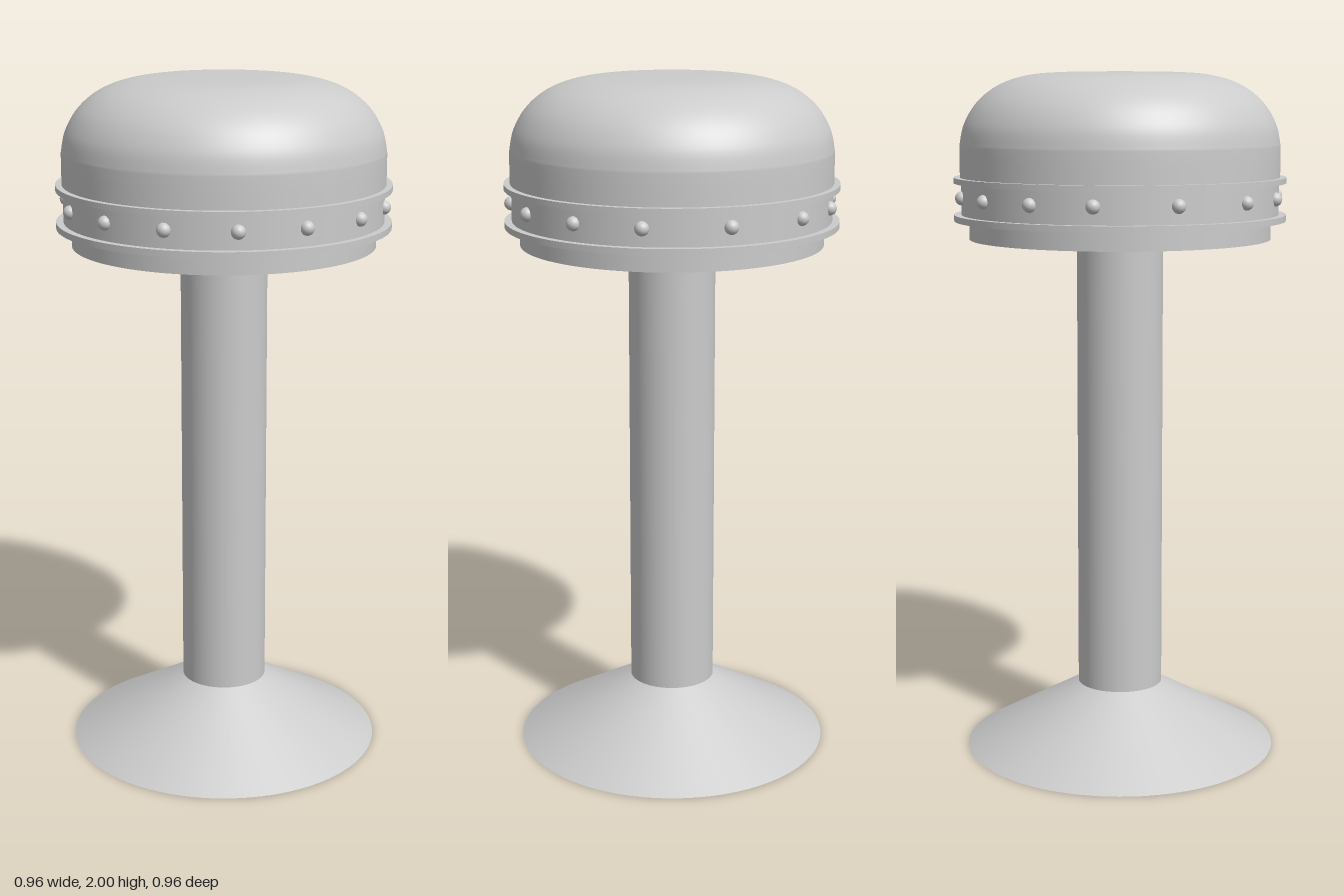
import * as THREE from 'three';

const SEGMENTS = 96;

export function createModel() {
  const stool = new THREE.Group();
  stool.name = 'stool';
  const material = new THREE.MeshStandardMaterial({ color: 0xcccccc });

  const add = (name, geometry, parent = stool) => {
    const mesh = new THREE.Mesh(geometry, material);
    mesh.name = name;
    parent.add(mesh);
    return mesh;
  };

  // Upright disc or cone between two heights
  const addRound = (name, y0, y1, bottomRadius, topRadius = bottomRadius, parent = stool) => {
    const mesh = add(name, new THREE.CylinderGeometry(topRadius, bottomRadius, y1 - y0, SEGMENTS), parent);
    mesh.position.y = (y0 + y1) / 2;
    return mesh;
  };

  // Floor flange and column
  addRound('baseFlange', 0, 0.19, 0.46, 0.125);
  addRound('column', 0.18, 1.54, 0.125);

  // Seat pan and trim band with two projecting rims
  const seat = new THREE.Group();
  seat.name = 'seat';
  stool.add(seat);
  addRound('seatPan', 1.525, 1.585, 0.435, 0.435, seat);
  addRound('trimBand', 1.585, 1.7, 0.457, 0.457, seat);
  addRound('lowerRim', 1.578, 1.596, 0.478, 0.478, seat);
  addRound('upperRim', 1.686, 1.702, 0.478, 0.478, seat);

  // Domed cushion: straight wall easing into a nearly flat top
  const wall = [[0.46, 1.7], [0.46, 1.75]];
  const dome = new THREE.SplineCurve([
    [0.46, 1.79], [0.447, 1.85], [0.41, 1.912], [0.35, 1.96],
    [0.27, 1.988], [0.17, 1.998], [0, 2],
  ].map(([r, y]) => new THREE.Vector2(r, y)));
  const profile = [...wall.map(([r, y]) => new THREE.Vector2(r, y)), ...dome.getPoints(36)];
  profile[profile.length - 1].x = 0;
  add('cushion', new THREE.LatheGeometry(profile, SEGMENTS), seat);

  // Upholstery studs, spaced by hand around the band (degrees from +x towards +z)
  const studGeometry = new THREE.SphereGeometry(0.02, 20, 14);
  const studAngles = [0, 25, 50, 75, 99, 124, 148, 172, 201, 230, 253, 276, 300, 330];
  for (const degrees of studAngles) {
    const a = THREE.MathUtils.degToRad(degrees);
    add('stud', studGeometry, seat).position.set(0.457 * Math.cos(a), 1.645, 0.457 * Math.sin(a));
  }

  return stool;
}
